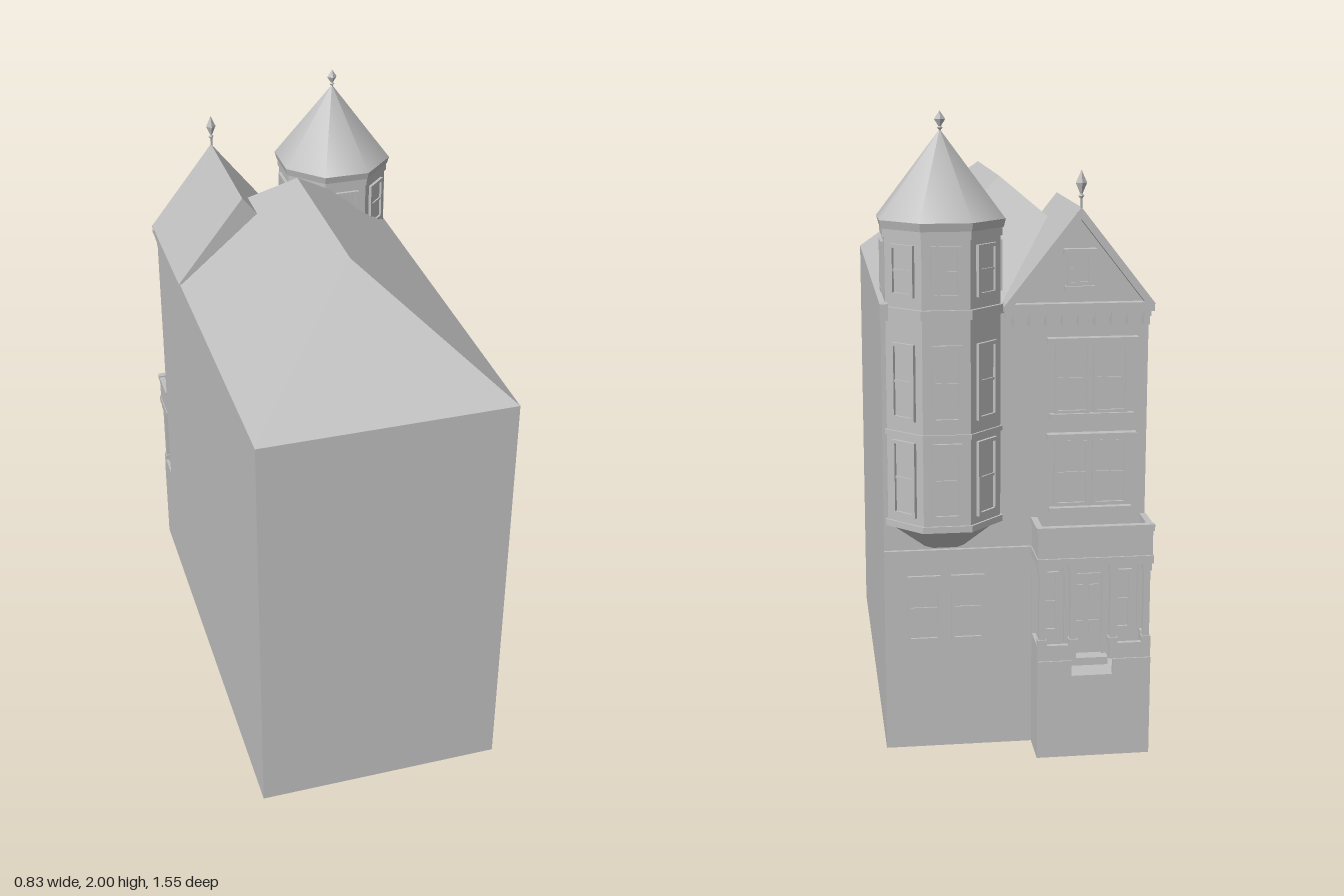
import * as THREE from 'three';

export function createModel() {
  const root = new THREE.Group();
  root.name = 'townhouse';
  const stone = new THREE.MeshStandardMaterial({ color: 0xc0c0c0, side: THREE.DoubleSide });
  stone.name = 'grey stone';

  const add = (name, geo, parent = root) => {
    const m = new THREE.Mesh(geo, stone);
    m.name = name;
    parent.add(m);
    return m;
  };
  const box = (name, x0, x1, y0, y1, z0, z1, parent = root) => {
    const m = add(name, new THREE.BoxGeometry(x1 - x0, y1 - y0, z1 - z0), parent);
    m.position.set((x0 + x1) / 2, (y0 + y1) / 2, (z0 + z1) / 2);
    return m;
  };
  // Flat faces from corner lists, each fanned into triangles
  const faces = (name, list) => {
    const pos = [];
    for (const f of list)
      for (let i = 1; i < f.length - 1; i++) pos.push(...f[0], ...f[i], ...f[i + 1]);
    const g = new THREE.BufferGeometry();
    g.setAttribute('position', new THREE.Float32BufferAttribute(pos, 3));
    g.computeVertexNormals();
    return add(name, g);
  };

  // House shell (open underneath) and hipped roof
  const X = 0.41, Z0 = -0.64, Z1 = 0.775, E = 1.425;
  const corners = [[-X, Z1], [X, Z1], [X, Z0], [-X, Z0]];
  faces('houseWalls', corners.map(([x, z], i) => {
    const [u, w] = corners[(i + 1) % 4];
    return [[x, 0, z], [u, 0, w], [u, E, w], [x, E, z]];
  }));
  const a = [-X, E, Z1], b = [X, E, Z1], c = [X, E, Z0], d = [-X, E, Z0];
  const rf = [0, 1.775, 0.365], rb = [0, 1.775, -0.23];
  faces('mainRoof', [[a, b, rf], [b, c, rb, rf], [c, d, rb], [d, a, rf, rb]]);

  // Gable over the entrance side
  const gx = -0.187, gl = -0.415, gr = 0.041, gy = 1.72, ge = 1.43, gz = -0.7, gb = -0.24;
  faces('gableRoof', [
    [[gl, ge, gb], [gl, ge, gz], [gx, gy, gz], [gx, gy, gb]],
    [[gx, gy, gb], [gx, gy, gz], [gr, ge, gz], [gr, ge, gb]],
    [[gl, ge, gb], [gx, gy, gb], [gr, ge, gb]],
    [[gr, ge, gz + 0.03], [gx, gy, gz + 0.03], [gl, ge, gz + 0.03]],
  ]);
  for (const s of [-1, 1]) {
    const w = gr - gx, h = gy - ge, len = Math.hypot(w, h);
    const rake = add('gableRakeTrim', new THREE.BoxGeometry(len, 0.022, 0.035));
    rake.position.set(gx + s * (w / 2 - 0.006), ge + h / 2 - 0.01, gz + 0.0175);
    rake.rotation.z = -s * Math.atan2(h, w);
  }
  box('gableCornice', gl, gr, 1.405, 1.432, gz, Z0);
  box('gableCorniceMolding', gl + 0.005, gr - 0.005, 1.385, 1.405, -0.675, Z0);
  for (let i = 0; i < 9; i++) {
    const x = -0.395 + i * 0.05;
    box('corniceBracket', x - 0.009, x + 0.009, 1.36, 1.405, -0.685, Z0);
  }
  box('cornerCorniceBlock', 0.39, 0.415, 1.39, 1.44, -0.69, Z0);

  // Sash window: pane, surround, middle rail, optional hood and sill; local +z points outward
  const sash = (name, w, h, x, y, z, turn, hood = false) => {
    const g = new THREE.Group();
    g.name = name;
    g.position.set(x, y, z);
    g.rotation.y = turn;
    root.add(g);
    const t = 0.011, p = 0.01;
    box('pane', -w / 2, w / 2, -h / 2, h / 2, 0, 0.002, g);
    for (const s of [-1, 1]) {
      const sx = s * (w - t) / 2, sy = s * (h - t) / 2;
      box('frameSide', sx - t / 2, sx + t / 2, -h / 2, h / 2, 0, p, g);
      box('frameEnd', -w / 2, w / 2, sy - t / 2, sy + t / 2, 0, p, g);
    }
    box('meetingRail', -w / 2, w / 2, -0.004, 0.004, 0, p * 0.7, g);
    if (hood) {
      box('hood', -w / 2 - 0.012, w / 2 + 0.012, h / 2, h / 2 + 0.018, 0, 0.026, g);
      box('sill', -w / 2 - 0.008, w / 2 + 0.008, -h / 2 - 0.014, -h / 2, 0, 0.02, g);
    }
  };

  // Facade windows, gable window and ground floor band
  for (const y of [1.19, 0.89]) {
    for (const x of [-0.175, -0.295]) sash('facadeWindow', 0.11, y > 1 ? 0.22 : 0.21, x, y, Z0, Math.PI);
    box('windowHood', -0.375, -0.095, y + 0.11, y + 0.13, Z0 - 0.028, Z0);
    box('windowSill', -0.365, -0.105, y - 0.125, y - 0.108, Z0 - 0.02, Z0);
  }
  for (const x of [0.288, 0.15]) sash('groundWindow', 0.105, 0.215, x, 0.465, Z0, Math.PI);
  sash('gableWindow', 0.075, 0.095, gx, 1.53, gz + 0.03, Math.PI, true);
  box('floorBand', -0.05, X, 0.64, 0.658, Z0 - 0.012, Z0);

  // Octagonal corner tower
  const tx = 0.222, tz = -0.574, ap = 0.174, k8 = 1 / Math.cos(Math.PI / 8);
  const octagon = (name, top, bottom, y0, y1, smooth = false, open = false) => {
    let g = new THREE.CylinderGeometry(top * k8, bottom * k8, y1 - y0, 8, 1, open, Math.PI / 8);
    if (!smooth) {
      g = g.toNonIndexed();
      g.computeVertexNormals();
    }
    add(name, g).position.set(tx, (y0 + y1) / 2, tz);
  };
  octagon('towerBody', ap, ap, 0.755, 1.67);
  octagon('towerTaper', ap, 0.09, 0.67, 0.755);
  octagon('towerBaseBand', ap + 0.007, ap + 0.007, 0.745, 0.765);
  octagon('towerMiddleBand', ap + 0.006, ap + 0.006, 1.035, 1.05);
  octagon('towerCornice', ap + 0.01, ap + 0.01, 1.4, 1.428);
  octagon('towerFrieze', ap + 0.006, ap + 0.006, 1.635, 1.66);
  octagon('towerEave', 0.189, 0.183, 1.66, 1.685);
  octagon('towerRoof', 0, 0.188, 1.685, 1.945, true, true);
  for (let i = 0; i < 8; i++) {
    const t = i * Math.PI / 4, x = tx + ap * Math.sin(t), z = tz + ap * Math.cos(t);
    sash('towerUpperWindow', 0.09, 0.155, x, 1.54, z, t);
    if (i > 2 && i < 6) {
      sash('towerMiddleWindow', 0.09, 0.235, x, 1.205, z, t);
      sash('towerLowerWindow', 0.09, 0.235, x, 0.905, z, t);
    }
  }

  // Roof finials
  const finial = (x, y, z, h) => {
    const pts = [[0.004, 0], [0.004, 0.3], [0.009, 0.36], [0.004, 0.42], [0.017, 0.68], [0, 1]];
    const g = new THREE.LatheGeometry(pts.map(([r, v]) => new THREE.Vector2(r, v * h)), 4).toNonIndexed();
    g.computeVertexNormals();
    add('finial', g).position.set(x, y, z);
  };
  finial(tx, 1.92, tz, 0.08);
  finial(gx, 1.71, -0.69, 0.12);

  // Entrance porch: low walls with a stepped opening
  const pl = -0.41, pr = -0.053, pz = -0.77;
  const side = [[0, 0], [0.13, 0], [0.13, 0.32], [0.11, 0.32], [0.11, 0.37], [0, 0.37]];
  for (const x of [pl, pr - 0.012]) {
    const s = new THREE.Shape(side.map(([u, v]) => new THREE.Vector2(u, v)));
    const m = add('porchSideWall', new THREE.ExtrudeGeometry(s, { depth: 0.012, bevelEnabled: false }));
    m.rotation.y = Math.PI / 2;
    m.position.set(x, 0, Z0);
  }
  const front = [[pl, 0], [pr, 0], [pr, 0.32], [-0.16, 0.32], [-0.16, 0.27], [-0.29, 0.27], [-0.29, 0.32], [pl, 0.32]];
  const fs = new THREE.Shape(front.map(([u, v]) => new THREE.Vector2(u, v)));
  add('porchFrontWall', new THREE.ExtrudeGeometry(fs, { depth: 0.012, bevelEnabled: false })).position.z = pz;
  box('porchDeck', pl, pr, 0.255, 0.27, pz + 0.012, Z0);
  box('porchStep', -0.29, -0.16, 0.27, 0.295, -0.69, Z0);
  for (const [x0, x1] of [[pl, -0.29], [-0.16, pr]])
    box('porchRailing', x0, x1, 0.32, 0.37, -0.765, -0.75);
  // Columns with caps and bases
  for (const x of [-0.395, -0.29, -0.165, -0.068]) {
    box('porchColumn', x - 0.01, x + 0.01, 0.32, 0.63, -0.765, -0.745);
    box('columnBase', x - 0.014, x + 0.014, 0.37, 0.39, -0.769, -0.741);
    box('columnCap', x - 0.014, x + 0.014, 0.605, 0.63, -0.769, -0.741);
  }
  for (const x of [-0.4, -0.063]) box('wallPilaster', x - 0.01, x + 0.01, 0.37, 0.63, -0.648, Z0);

  // Front door with panels and sidelights
  box('door', -0.275, -0.175, 0.295, 0.56, Z0 - 0.006, Z0);
  for (const x of [-0.285, -0.165]) box('doorJamb', x - 0.01, x + 0.01, 0.295, 0.58, Z0 - 0.016, Z0);
  box('doorLintel', -0.3, -0.15, 0.57, 0.59, Z0 - 0.018, Z0);
  for (const x of [-0.25, -0.2])
    for (const y of [0.36, 0.48]) box('doorPanel', x - 0.016, x + 0.016, y - 0.045, y + 0.045, Z0 - 0.011, Z0);
  for (const x of [-0.345, -0.11]) sash('sidelight', 0.055, 0.2, x, 0.47, Z0, Math.PI);

  // Balcony above the porch
  box('balconyBeam', pl - 0.003, pr + 0.003, 0.63, 0.655, -0.776, Z0);
  box('balconyFront', pl, pr, 0.655, 0.735, pz, pz + 0.012);
  for (const x of [pl, pr - 0.012]) {
    box('balconySide', x, x + 0.012, 0.655, 0.735, pz, Z0);
    box('balconySideRail', x - 0.004, x + 0.016, 0.735, 0.75, pz, Z0);
  }
  box('balconyFrontRail', pl - 0.004, pr + 0.004, 0.735, 0.755, -0.777, -0.755);

  return root;
}
